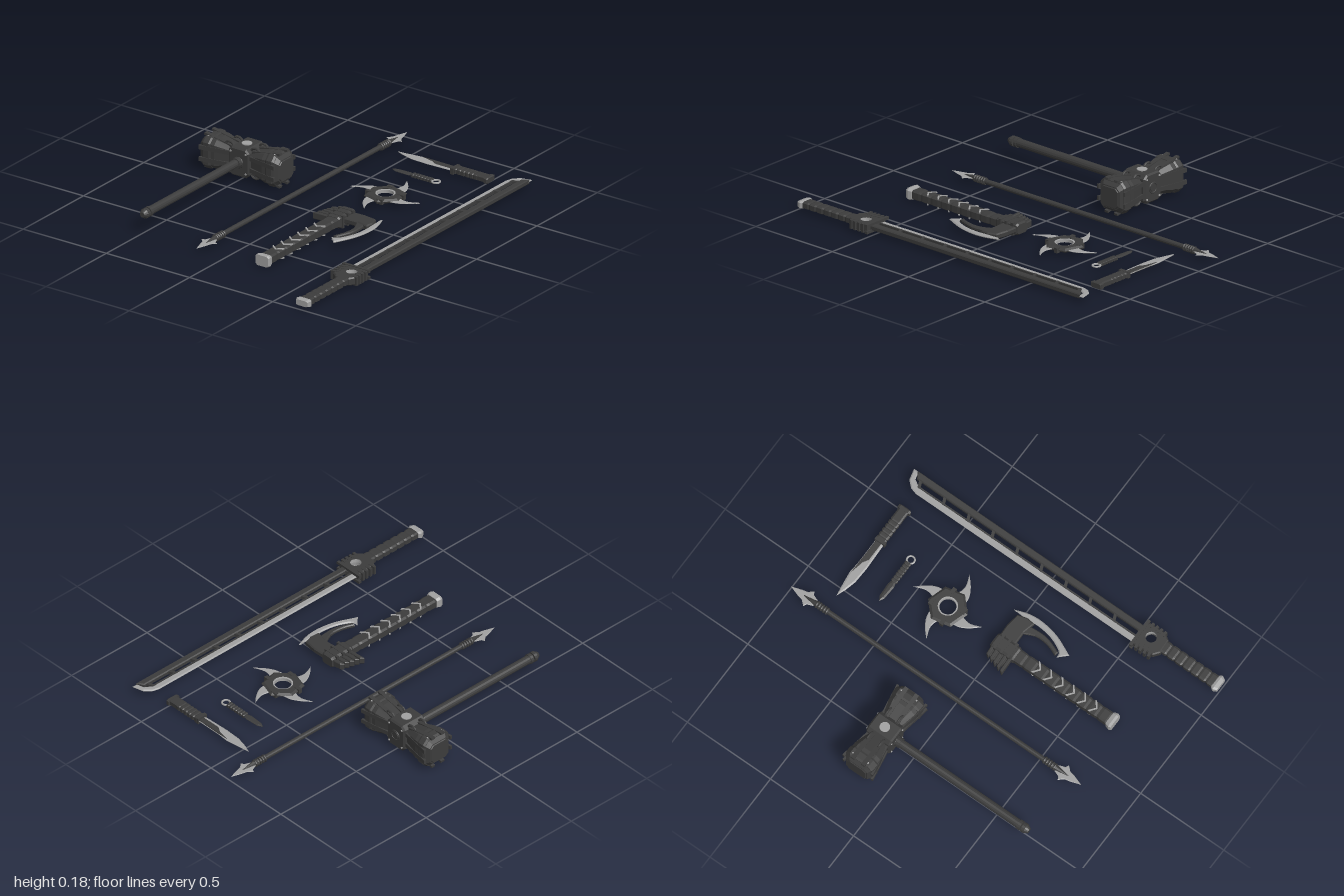
import * as THREE from 'three';

const dark = new THREE.MeshStandardMaterial({ color: 0x3c3c3c, flatShading: true, side: THREE.DoubleSide });
const light = new THREE.MeshStandardMaterial({ color: 0xa0a0a0, flatShading: true, side: THREE.DoubleSide });

function add(parent, name, geo, mat, x = 0, y = 0, z = 0) {
  const m = new THREE.Mesh(geo, mat);
  m.name = name;
  m.position.set(x, y, z);
  parent.add(m);
  return m;
}
function group(root, name, x, y, z) {
  const g = new THREE.Group();
  g.name = name;
  g.position.set(x, y, z);
  root.add(g);
  return g;
}
const box = (w, h, d) => new THREE.BoxGeometry(w, h, d);
const rod = (r, len, n = 12, r2 = r) => new THREE.CylinderGeometry(r2, r, len, n).rotateX(Math.PI / 2);

// Flat plate lying in x-z, outline given as [x, z], centred on y = 0, edges bevelled inwards
function plate(pts, h, bevel = 0, holes = []) {
  const v = p => p.map(([x, z]) => new THREE.Vector2(x, -z));
  const s = new THREE.Shape(v(pts));
  s.holes = holes.map(p => new THREE.Path(v(p)));
  const t = Math.min(bevel, h * 0.4);
  const g = new THREE.ExtrudeGeometry(s, { depth: h - 2 * t, bevelEnabled: bevel > 0, bevelThickness: t,
    bevelSize: bevel, bevelOffset: -bevel, bevelSegments: 1, curveSegments: 8 });
  return g.translate(0, 0, t - h / 2).rotateX(-Math.PI / 2);
}
const ring = (r, n, cx = 0, cz = 0, a0 = 0) => Array.from({ length: n }, (_, i) => {
  const a = a0 + i / n * Math.PI * 2;
  return [cx + r * Math.cos(a), cz + r * Math.sin(a)];
});
const curve = (pts, n) => new THREE.SplineCurve(pts.map(p => new THREE.Vector2(...p))).getPoints(n).map(p => [p.x, p.y]);
const mirrored = pts => [...pts, ...pts.slice().reverse().filter(p => p[0] !== 0).map(([x, z]) => [-x, z])];

// Loft of chamfered rectangles along x; stations are [x, half height, half depth]
function loft(stations, k = 0.7) {
  const sec = [[1, -k], [1, k], [k, 1], [-k, 1], [-1, k], [-1, -k], [-k, -1], [k, -1]];
  const rings = stations.map(([x, hy, hz]) => sec.map(([y, z]) => [x, y * hy, z * hz]));
  const p = [], last = rings.length - 1;
  for (let j = 0; j < 8; j++) {
    const n = (j + 1) % 8;
    for (let i = 0; i < last; i++) {
      const a = rings[i][j], b = rings[i][n], c = rings[i + 1][n], d = rings[i + 1][j];
      p.push(...a, ...b, ...c, ...a, ...c, ...d);
    }
    p.push(stations[0][0], 0, 0, ...rings[0][n], ...rings[0][j]);
    p.push(stations[last][0], 0, 0, ...rings[last][j], ...rings[last][n]);
  }
  const g = new THREE.BufferGeometry();
  g.setAttribute('position', new THREE.Float32BufferAttribute(p, 3));
  g.computeVertexNormals();
  return g;
}
// Grip with n scallops from a to b along x
function grip(a, b, hy, hz, n, dip = 0.86) {
  const st = [], d = (b - a) / n;
  for (let i = 0; i < n; i++) {
    const x = a + i * d;
    st.push([x, hy * dip, hz * dip], [x + d * 0.25, hy, hz], [x + d * 0.8, hy, hz]);
  }
  st.push([b, hy * dip, hz * dip]);
  return loft(st);
}
const alongZ = g => g.rotateY(-Math.PI / 2);

function hammer(root) {
  const g = group(root, 'hammer', -0.505, 0.093, -0.172);
  for (const s of [-1, 1]) {
    const side = group(g, 'hammerSide', 0, 0, 0);
    if (s < 0) side.rotation.y = Math.PI;
    add(side, 'hammerBlock', loft([[0.03, 0.055, 0.053], [0.06, 0.055, 0.053], [0.143, 0.076, 0.076], [0.212, 0.078, 0.078], [0.234, 0.058, 0.062]]), dark);
    // flared ribs and rim
    for (const y of [-1, 1]) for (const z of [-1, 1]) {
      const ribZ = add(side, 'flaredRib', box(0.175, 0.022, 0.012), dark, 0.14, y * 0.031, z * 0.071);
      ribZ.rotation.y = -z * 0.17;
      const ribY = add(side, 'flaredRib', box(0.175, 0.012, 0.022), dark, 0.14, y * 0.071, z * 0.031);
      ribY.rotation.z = y * 0.17;
      add(side, 'cornerBolt', new THREE.CylinderGeometry(0.005, 0.005, 0.004, 8), light, 0.2, y * 0.082, z * 0.045);
    }
    add(side, 'rimBand', loft([[0.165, 0.079, 0.078], [0.175, 0.083, 0.082], [0.205, 0.083, 0.082], [0.216, 0.077, 0.077]]), dark);
    add(side, 'strikingFace', loft([[0.228, 0.058, 0.062], [0.238, 0.05, 0.054]]), dark);
    // arched clips over the neck
    for (const y of [-1, 1]) for (const z of [-0.035, 0.035]) {
      const path = new THREE.CatmullRomCurve3([[0.05, 0.062], [0.062, 0.076], [0.09, 0.078], [0.106, 0.06]].map(p => new THREE.Vector3(p[0], y * p[1], z)));
      add(side, 'clip', new THREE.TubeGeometry(path, 10, 0.006, 6), dark);
    }
  }
  const c = 0.02, w = 0.062, h = 0.076;
  const oct = mirrored([[w - c, -h], [w, -h + c], [w, h - c], [w - c, h]]);
  add(g, 'centreBlock', plate(oct, 0.144, 0.008).rotateX(Math.PI / 2), dark);
  for (const s of [-1, 1]) {
    add(g, 'bossRing', new THREE.TorusGeometry(0.026, 0.004, 6, 20), dark, 0, 0, s * 0.073);
    add(g, 'boss', rod(0.02, 0.008, 16), dark, 0, 0, s * 0.073);
    add(g, 'capDisc', new THREE.CylinderGeometry(0.026, 0.026, 0.01, 20), light, 0, s * 0.075, 0);
    for (const x of [-0.045, 0.045]) for (const y of [-0.052, 0.052]) add(g, 'bolt', rod(0.005, 0.006, 8), light, x, y, s * 0.073);
  }
  add(g, 'handle', rod(0.022, 0.74, 14), dark, 0, 0.003, 0.45);
  add(g, 'collar', rod(0.027, 0.03, 14), dark, 0, 0.003, 0.083);
  for (const z of [0.815, 0.84]) add(g, 'pommelRing', rod(0.026, 0.018, 14), dark, 0, 0.003, z);
  add(g, 'pommel', rod(0.025, 0.02, 14, 0.014).rotateY(0), dark, 0, 0.003, 0.858);
}

function spear(root) {
  const g = group(root, 'spear', -0.143, 0.028, -0.127);
  add(g, 'shaft', rod(0.013, 1.34, 12), dark);
  const head = mirrored([[0, 0.873], [0.018, 0.82], [0.025, 0.79], [0.047, 0.765], [0.03, 0.757], [0.018, 0.725]]);
  for (const s of [-1, 1]) {
    const end = group(g, 'spearEnd', 0, 0, 0);
    if (s < 0) end.rotation.y = Math.PI;
    add(end, 'spearBlade', plate(head, 0.004, 0.004), light);
    add(end, 'spike', rod(0.018, 0.09, 8, 0.002), dark, 0, 0, 0.752);
    add(end, 'socket', rod(0.012, 0.09, 10), dark, 0, 0, 0.69);
    for (let i = 0; i < 5; i++) add(end, 'coil', new THREE.TorusGeometry(0.014, 0.006, 6, 14), dark, 0, 0, 0.655 + i * 0.015);
  }
}

function knives(root) {
  const k = group(root, 'knife', 0, 0.021, -0.788);
  const blade = [[-0.05, -0.007], [0.02, -0.018], [0.09, -0.027], [0.15, -0.022], [0.31, -0.022], [0.31, 0.025], [0.15, 0.031], [0.06, 0.027], [0, 0.012]];
  add(k, 'blade', plate(blade, 0.008, 0.008), light);
  add(k, 'bladeSpine', plate([[0.09, -0.02], [0.3, -0.019], [0.3, 0.014], [0.19, 0.014], [0.16, -0.004]], 0.012, 0.003), dark);
  add(k, 'guard', box(0.018, 0.032, 0.06), dark, 0.302, 0, 0.003);
  add(k, 'grip', grip(0.3, 0.45, 0.015, 0.028, 6), dark);
  add(k, 'gripEnd', loft([[0.445, 0.015, 0.027], [0.5, 0.015, 0.027]]), dark);
  add(k, 'pommel', loft([[0.495, 0.016, 0.036], [0.51, 0.016, 0.036], [0.515, 0.012, 0.03]]), dark);

  const t = group(root, 'throwingKnife', 0, 0.021, -0.611);
  const leaf = [[0.05, 0], [0.075, -0.014], [0.15, -0.018], [0.18, -0.01], [0.18, 0.01], [0.15, 0.018], [0.075, 0.014]];
  add(t, 'leafBlade', plate(leaf, 0.01, 0.009), dark);
  add(t, 'wrappedGrip', grip(0.17, 0.295, 0.009, 0.017, 7, 0.75), dark);
  add(t, 'ringPommel', new THREE.TorusGeometry(0.02, 0.005, 8, 20).rotateX(Math.PI / 2), light, 0.313);
}

function throwingStar(root) {
  const g = group(root, 'throwingStar', 0.22, 0.03, -0.32);
  add(g, 'hub', plate(ring(0.105, 6, 0, 0, 0.3), 0.022, 0.012, [ring(0.062, 24)]), dark);
  add(g, 'innerRing', plate(ring(0.055, 24), 0.016, 0, [ring(0.042, 24)]), light);
  const outer = curve([[-0.015, -0.198], [0.025, -0.155], [0.052, -0.11], [0.06, -0.07]], 8);
  const inner = curve([[-0.005, -0.085], [0.005, -0.11], [0.006, -0.145], [-0.015, -0.198]], 8).slice(0, -1);
  for (let i = 0; i < 4; i++) {
    add(g, 'curvedBlade', plate([...outer, ...inner], 0.006, 0.004), light).rotation.y = -i * Math.PI / 2;
    add(g, 'bladeRoot', box(0.035, 0.026, 0.02), dark, 0, 0, 0).position.set(0.083 * Math.cos(i * 1.571 + 1.25), 0, 0.083 * Math.sin(i * 1.571 + 1.25));
    const spoke = add(g, 'spoke', box(0.03, 0.014, 0.016), dark, 0.06 * Math.cos(i * 1.571 + 0.6), 0, 0.06 * Math.sin(i * 1.571 + 0.6));
    spoke.rotation.y = -(i * 1.571 + 0.6);
  }
}

function axe(root) {
  const g = group(root, 'axe', 0.212, 0.034, 0);
  add(g, 'handle', alongZ(grip(0.09, 0.665, 0.024, 0.034, 9, 0.92)), dark);
  add(g, 'pommel', alongZ(loft([[0.66, 0.026, 0.036], [0.68, 0.031, 0.042], [0.693, 0.028, 0.038]])), light);
  // chevron wraps on both faces
  for (let i = 0; i < 6; i++) for (const y of [-1, 1]) {
    const z = 0.21 + i * 0.068;
    add(g, 'chevron', plate([[-0.033, z], [0, z + 0.026], [0.033, z], [0.033, z + 0.01], [0, z + 0.036], [-0.033, z + 0.01]], 0.006), light, 0, y * 0.0235);
  }
  add(g, 'headBlock', alongZ(loft([[-0.035, 0.025, 0.034], [-0.025, 0.031, 0.039], [0.095, 0.031, 0.039], [0.105, 0.026, 0.035]])), dark);
  for (const z of [-0.005, 0.035, 0.075]) add(g, 'headBand', box(0.088, 0.066, 0.014), dark, 0, 0, z);
  // slanted claws at the back
  for (let i = 0; i < 5; i++) {
    const r = 0.09 + i * 0.008, z = -0.018 + i * 0.026;
    add(g, 'claw', plate([[-0.035, z - 0.01], [-r + 0.01, z - 0.006], [-r - 0.003, z + 0.012], [-0.035, z + 0.008]], 0.036, 0.004), dark);
  }
  add(g, 'clawPlate', plate([[-0.03, -0.02], [-0.08, -0.01], [-0.095, 0.07], [-0.03, 0.09]], 0.02), dark);
  // neck, inner arc and cutting edge
  add(g, 'neck', plate([[0.03, -0.028], [0.1, -0.03], [0.17, -0.02], [0.185, 0.03], [0.18, 0.075], [0.115, 0.06], [0.03, 0.062]], 0.03, 0.006), dark);
  const arcOut = curve([[0.155, 0.04], [0.162, 0.1], [0.16, 0.17], [0.13, 0.255]], 10);
  const arcIn = curve([[0.108, 0.25], [0.13, 0.19], [0.134, 0.12], [0.105, 0.055]], 10);
  add(g, 'innerArc', plate([...arcOut, ...arcIn], 0.02, 0.005), dark);
  const edgeOut = curve([[0.184, -0.053], [0.209, 0.02], [0.215, 0.1], [0.197, 0.2], [0.15, 0.307]], 16);
  const edgeIn = curve([[0.105, 0.262], [0.138, 0.252], [0.172, 0.18], [0.184, 0.1], [0.18, 0.02]], 16);
  add(g, 'cuttingEdge', plate([...edgeOut, ...edgeIn], 0.012, 0.006), light);
}

function sword(root) {
  const g = group(root, 'sword', 0.66, 0.034, 0);
  const edge = [[-0.06, 0.52], [-0.06, -0.79], [-0.05, -0.825], [-0.02, -0.858], [0.04, -0.873], [0.04, -0.845], [0, -0.835], [-0.022, -0.8], [-0.025, 0.52]];
  add(g, 'cuttingEdge', plate(edge, 0.01, 0.006), light);
  add(g, 'spine', plate([[0.004, 0.52], [0.004, -0.83], [0.04, -0.85], [0.04, 0.52]], 0.026, 0.005), dark);
  add(g, 'edgeRail', box(0.008, 0.016, 1.32), dark, -0.025, 0, -0.14);
  for (let i = 0; i < 10; i++) {
    const z = -0.81 + i * 0.1465;
    add(g, 'rung', plate([[-0.03, z + 0.008], [0.01, z - 0.008], [0.01, z + 0.008], [-0.03, z + 0.024]], 0.018), dark);
  }
  // guard with a round eye
  const body = [[-0.07, 0.52], [0.065, 0.52], [0.068, 0.62], [0.045, 0.655], [-0.03, 0.66], [-0.062, 0.635]];
  add(g, 'guard', plate(body, 0.042, 0.006, [ring(0.034, 20, 0.008, 0.577)]), dark);
  add(g, 'eyeRing', new THREE.TorusGeometry(0.034, 0.005, 6, 24).rotateX(Math.PI / 2).scale(1, 4.2, 1), light, 0.008, 0, 0.577);
  for (const y of [-1, 1]) add(g, 'crossbar', box(0.16, 0.014, 0.016), dark, -0.006, y * 0.017, 0.519);
  for (const [x, w] of [[-0.062, 0.04], [0.06, 0.028]]) for (let i = 0; i < 4; i++) {
    add(g, 'guardSlat', box(w, 0.046, 0.014), dark, x, 0, 0.545 + i * 0.025).rotation.y = -0.1 * Math.sign(x);
  }
  add(g, 'grip', alongZ(grip(0.64, 0.97, 0.018, 0.033, 7)), dark, 0.01);
  add(g, 'pommel', alongZ(loft([[0.962, 0.017, 0.036], [0.975, 0.02, 0.043], [0.995, 0.015, 0.034]])), light, 0.01);
}

export function createModel() {
  const root = new THREE.Group();
  root.name = 'weaponSet';
  [hammer, spear, knives, throwingStar, axe, sword].forEach(f => f(root));
  return root;
}
